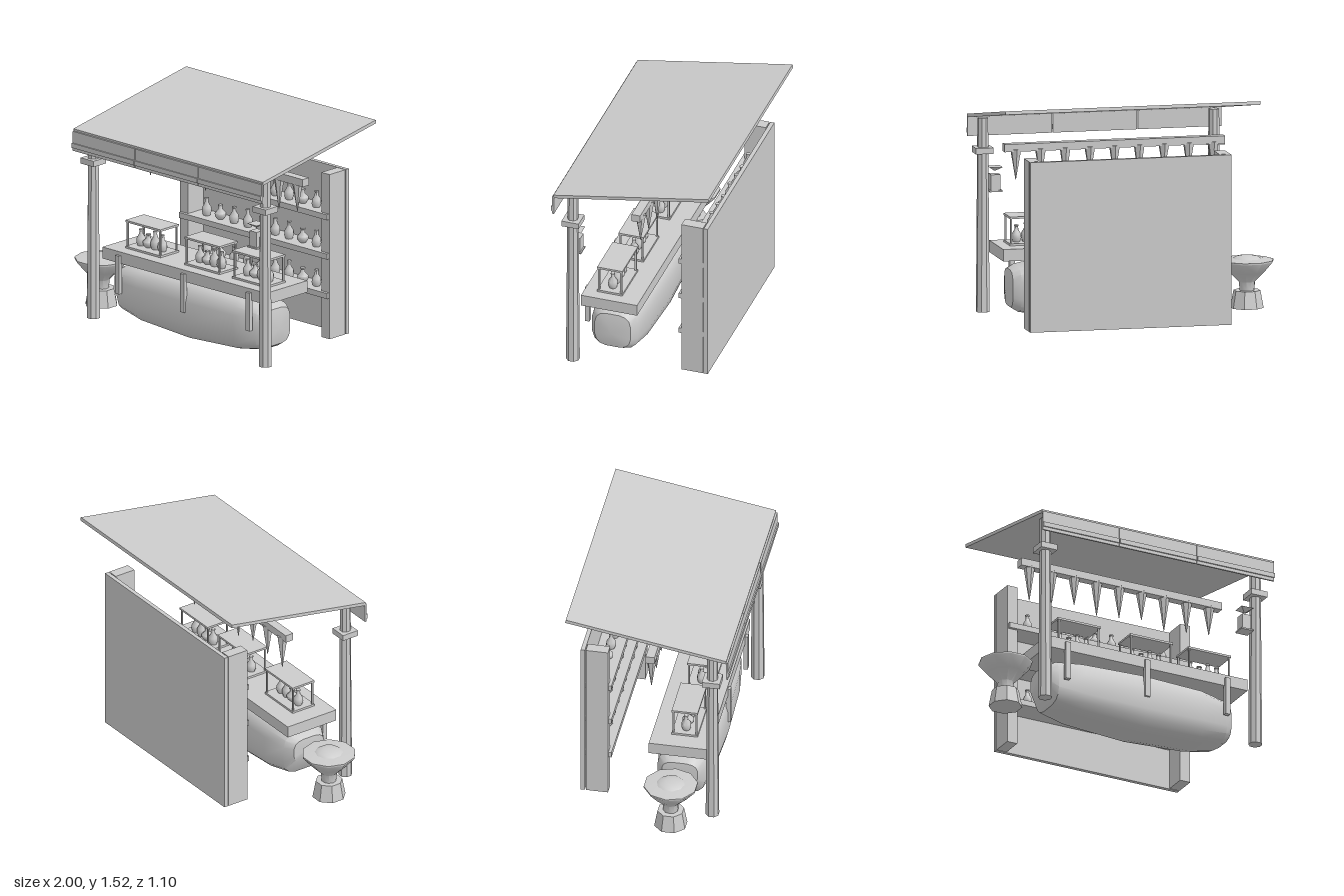
import * as THREE from 'three';
import { toCreasedNormals } from 'three/addons/utils/BufferGeometryUtils.js';

export function createModel() {
  const model = new THREE.Group();
  model.name = 'marketStall';
  const grey = new THREE.MeshStandardMaterial({ color: 0xcccccc });
  grey.name = 'plain grey';

  const add = (name, geo, x = 0, y = 0, z = 0, parent = model) => {
    const mesh = new THREE.Mesh(geo, grey);
    mesh.name = name;
    mesh.position.set(x, y, z);
    parent.add(mesh);
    return mesh;
  };
  // Box given by its limits on each axis
  const box = (name, x0, x1, y0, y1, z0, z1, parent = model) =>
    add(name, new THREE.BoxGeometry(x1 - x0, y1 - y0, z1 - z0),
      (x0 + x1) / 2, (y0 + y1) / 2, (z0 + z1) / 2, parent);
  // Faceted tapered cylinder standing on y0
  const prism = (name, rTop, rBottom, y0, y1, sides, x, z, turn = 0) => {
    const geo = new THREE.CylinderGeometry(rTop, rBottom, y1 - y0, sides).toNonIndexed();
    geo.computeVertexNormals();
    geo.rotateY(turn);
    return add(name, geo, x, (y0 + y1) / 2, z);
  };
  const lathe = (points, sides, crease) => toCreasedNormals(
    new THREE.LatheGeometry(points.map(([r, y]) => new THREE.Vector2(r, y)), sides), crease);

  // Sloping roof
  const roof = add('roof', new THREE.BoxGeometry(1.735, 0.023, 1.098), 0.1325, 1.411, -0.007);
  roof.rotation.x = 0.174;

  // Valance of three panels with a trim strip
  const edges = [-0.735, -0.162, 0.418, 1.0];
  for (let i = 0; i < 3; i++) {
    const x0 = edges[i] + 0.003, x1 = edges[i + 1] - 0.003;
    box('valancePanel', x0, x1, 1.178, 1.312, 0.533, 0.545);
    box('valanceTrim', x0, x1, 1.2, 1.232, 0.545, 0.554);
  }

  // Front posts with collars
  for (const x of [-0.655, 0.918]) {
    prism('frontPost', 0.036, 0.046, 0.015, 1.315, 8, x, 0.427, Math.PI / 8);
    box('postCollar', x - 0.06, x + 0.06, 1.08, 1.12, 0.367, 0.487);
  }

  // Counter top and its front straps
  box('counterTop', -0.615, 0.885, 0.42, 0.5, -0.01, 0.382);
  for (const x of [-0.465, 0.13, 0.73]) {
    box('counterStrap', x - 0.018, x + 0.018, 0.21, 0.475, 0.37, 0.4);
  }

  // Rounded counter base, lofted along x: [x, bottom, top, half depth]
  const stations = [
    [-0.575, 0.17, 0.335, 0.12], [-0.51, 0.065, 0.37, 0.16], [-0.32, 0.025, 0.392, 0.182],
    [0.13, 0, 0.405, 0.195], [0.57, 0.022, 0.392, 0.184], [0.75, 0.055, 0.36, 0.16],
    [0.8, 0.085, 0.335, 0.125],
  ];
  const sides = 16;
  const ringPoint = ([x, lo, hi, d], j) => {
    const a = ((j + 0.5) / sides) * Math.PI * 2;
    const soft = (v) => Math.sign(v) * Math.abs(v) ** 0.6;
    const s = 1 / soft(Math.cos(Math.PI / sides));
    return [x, (lo + hi) / 2 + soft(Math.cos(a)) * s * (hi - lo) / 2, 0.19 + soft(Math.sin(a)) * s * d];
  };
  const verts = [];
  const tri = (...corners) => corners.forEach((c) => verts.push(...c));
  const first = stations[0], last = stations[stations.length - 1];
  for (let j = 0; j < sides; j++) {
    for (let i = 0; i < stations.length - 1; i++) {
      const a = ringPoint(stations[i], j), d = ringPoint(stations[i], j + 1);
      const b = ringPoint(stations[i + 1], j), c = ringPoint(stations[i + 1], j + 1);
      tri(a, d, b);
      tri(b, d, c);
    }
    tri([-0.583, 0.26, 0.19], ringPoint(first, j + 1), ringPoint(first, j));
    tri([0.826, 0.2, 0.19], ringPoint(last, j), ringPoint(last, j + 1));
  }
  const baseGeo = new THREE.BufferGeometry();
  baseGeo.setAttribute('position', new THREE.Float32BufferAttribute(verts, 3));
  add('counterBase', toCreasedNormals(baseGeo, 0.6));

  // Back wall, side columns and shelves
  box('backPanel', -0.555, 0.815, 0.015, 1.155, -0.48, -0.452);
  box('backColumn', -0.555, -0.48, 0.015, 1.155, -0.446, -0.296);
  box('backColumn', 0.74, 0.815, 0.015, 1.155, -0.446, -0.296);
  const shelfTops = [0.335, 0.608, 0.88];
  for (const y of shelfTops) box('shelf', -0.545, 0.81, y - 0.038, y, -0.451, -0.275);

  // Bottles: one slender and one round shape
  const slender = lathe([[0, 0], [0.024, 0], [0.033, 0.025], [0.031, 0.055], [0.014, 0.085],
    [0.011, 0.11], [0.015, 0.112], [0.015, 0.121], [0, 0.121]], 10, 0.9);
  const round = lathe([[0, 0], [0.02, 0], [0.038, 0.022], [0.039, 0.042], [0.016, 0.066],
    [0.013, 0.088], [0.018, 0.091], [0.018, 0.099], [0, 0.099]], 10, 0.9);
  const bottle = (kind, x, y, z, parent = model, scale = 1) => {
    const b = add(kind === 'round' ? 'roundBottle' : 'slenderBottle',
      kind === 'round' ? round : slender, x, y, z, parent);
    b.scale.y = scale;
  };
  for (const y of shelfTops) {
    for (let i = 0; i < 9; i++) {
      bottle(i % 3 === 1 ? 'round' : 'slender', -0.37 + i * 0.1256, y, -0.36, model,
        i % 3 === 2 ? 0.93 : 1);
    }
  }

  // Display cases on the counter, each with four bottles
  for (const cx of [-0.328, 0.213, 0.648]) {
    const display = new THREE.Group();
    display.name = 'displayCase';
    display.position.set(cx, 0.5, 0.207);
    model.add(display);
    const w = 0.16, d = 0.088, t = 0.011;
    box('caseLid', -w, w, 0.18, 0.194, -d, d, display);
    box('caseFloor', -w, w, 0, 0.014, -d, d, display);
    for (const sx of [-1, 1]) for (const sz of [-1, 1]) {
      add('casePost', new THREE.BoxGeometry(t, 0.17, t), sx * (w - t), 0.097, sz * (d - t), display);
    }
    [-0.1, -0.033, 0.03, 0.095].forEach((x, i) =>
      bottle(i === 1 ? 'round' : 'slender', x, 0.014, 0, display, i === 2 ? 1.03 : 0.93));
  }

  // Hanging rail with tapering spikes
  box('hangingRail', -0.62, 0.88, 1.155, 1.207, -0.03, 0.03);
  for (let i = 0; i < 9; i++) {
    prism('hangingSpike', 0.038, 0.002, 0.925 + (i % 3) * 0.021, 1.17, 6, -0.545 + i * 0.168, -0.005);
  }

  // Lantern beside the left post
  box('lanternBody', 0.805, 0.87, 0.83, 0.935, 0.392, 0.46);
  box('lanternBase', 0.793, 0.882, 0.82, 0.83, 0.383, 0.471);
  prism('lanternCap', 0.062, 0.005, 0.957, 0.985, 4, 0.837, 0.427, Math.PI / 4);

  // Brazier: faceted foot, flared bowl and heap
  prism('brazierFoot', 0.09, 0.112, 0.015, 0.132, 8, -0.82, 0.178, Math.PI / 8);
  const bowl = lathe([[0, 0.13], [0.05, 0.13], [0.055, 0.19], [0.12, 0.255], [0.18, 0.325],
    [0.18, 0.336], [0.09, 0.345], [0, 0.345]], 10, 0.7);
  bowl.rotateY(Math.PI / 2);
  add('brazierBowl', bowl, -0.82, 0, 0.178);
  add('brazierHeap', lathe([[0.1, 0.34], [0.075, 0.358], [0.035, 0.365], [0, 0.367]], 10, 0.7),
    -0.82, 0, 0.178);

  return model;
}
